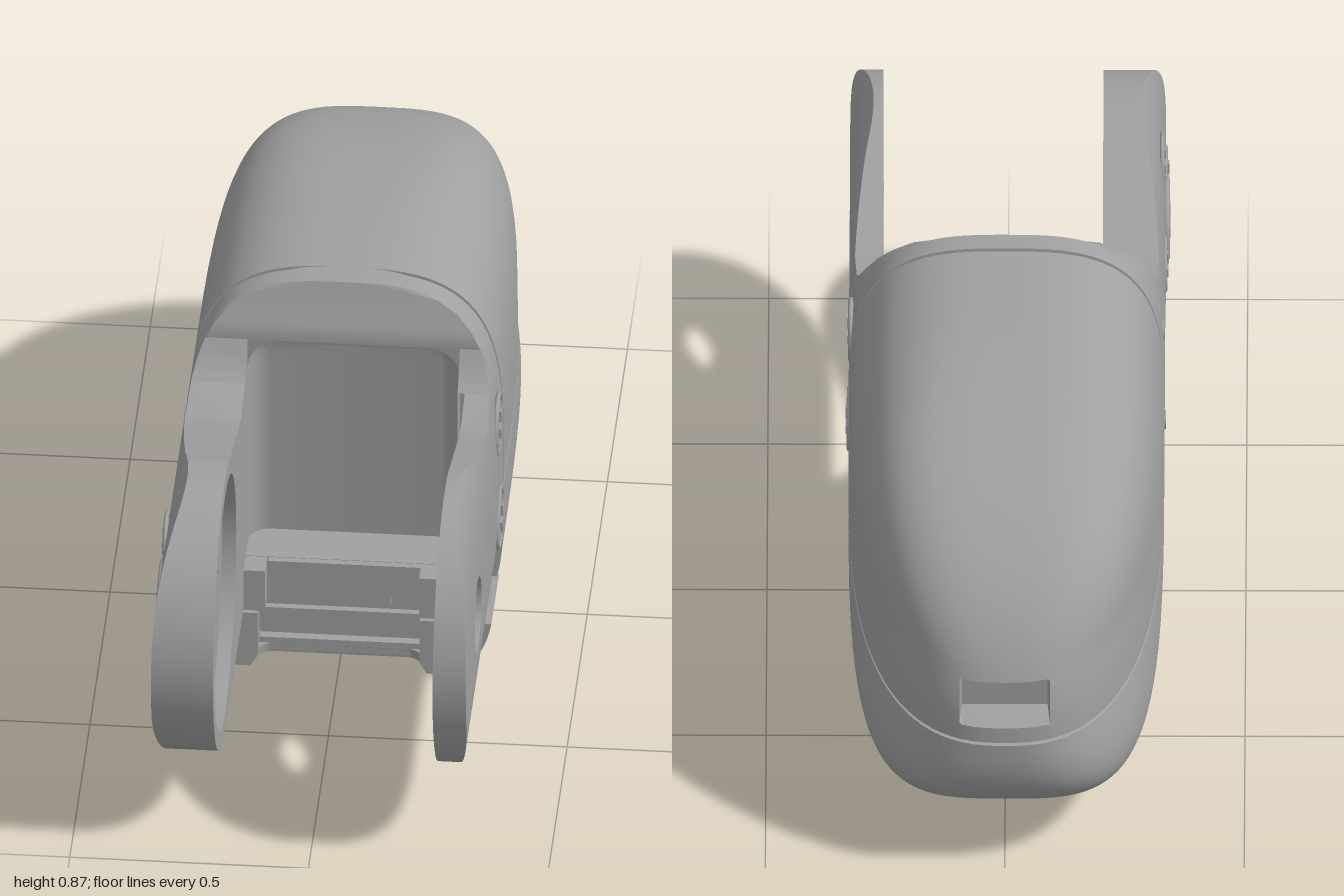
import * as THREE from 'three';
import { toCreasedNormals } from 'three/addons/utils/BufferGeometryUtils.js';

const grey = new THREE.MeshStandardMaterial({ color: 0xa0a0a0, side: THREE.DoubleSide });
grey.name = 'bodyGrey';

const SEAM = 0.36, TOP = 0.866, HALF = 0.33;
const PIVOT = { y: 0.45, z: 0.69 };

// Surface through rows of points
function loft(rows, flip = false, crease = 0.6) {
  const n = rows[0].length, index = [];
  for (let i = 0; i < rows.length - 1; i++) {
    for (let j = 0; j < n - 1; j++) {
      const a = i * n + j, b = a + 1, c = a + n, d = c + 1;
      if (flip) index.push(a, d, b, a, c, d);
      else index.push(a, b, d, a, d, c);
    }
  }
  const geo = new THREE.BufferGeometry();
  geo.setAttribute('position', new THREE.Float32BufferAttribute(rows.flat(2), 3));
  geo.setIndex(index);
  return toCreasedNormals(geo, crease);
}

const steps = (n, f) => Array.from({ length: n + 1 }, (_, i) => f(i / n));

// Height above the seam, 0 to 1
const rise = y => Math.min(1, Math.max(0, (y - SEAM) / (TOP - SEAM)));

// Half width of the body at height y
const halfWidth = y => (y < SEAM ? HALF - 0.04 * ((SEAM - y) / 0.23) ** 2 : HALF * Math.cbrt(1 - rise(y) ** 4));

// Lower shell: half width at depth v below the seam, and its sloping underside
const lowerWidth = v => HALF * (0.64 + 0.36 * Math.sqrt(1 - v ** 4));
const underside = z => 0.0886 * (0.25 - z);

// Top edge of the fork seen from the side
const EDGE = [[0.09, 0.866], [0.11, 0.81], [0.14, 0.745], [0.16, 0.713], [0.18, 0.69], [0.205, 0.67],
  [0.23, 0.659], [0.265, 0.651], [0.3, 0.652], [0.35, 0.664], [0.4, 0.68], [0.55, 0.728], [0.6, 0.747],
  [0.64, 0.756], [0.69, 0.76]];
function forkTop(z) {
  if (z <= EDGE[0][0]) return TOP;
  const k = EDGE.findIndex(p => p[0] >= z);
  if (k < 0) return 0.76;
  const [p, q] = [EDGE[k - 1], EDGE[k]];
  return p[1] + (q[1] - p[1]) * (z - p[0]) / (q[0] - p[0]);
}

// Plan angles shared by both shells, with extra columns at the slot edges
const slotAngle = Math.asin(0.27 ** 1.25);
const angles = [...steps(48, t => (t - 0.5) * Math.PI),
  -slotAngle - 0.015, -slotAngle, slotAngle, slotAngle + 0.015].sort((a, b) => a - b);

// U-shaped outline running from one front edge, round the back, to the other
function plan(w, back, front, inset, full) {
  const pts = angles.map(a => ({
    a, x: inset * w * Math.sign(a) * Math.abs(Math.sin(a)) ** (2 / (2.5 + full)),
    z: inset * back * Math.max(0, Math.cos(a)) ** (2 / (3 + full)),
  }));
  const edge = s => [{ a: 9, x: s * w * inset, z: front }, { a: 9, x: s * w * 0.8, z: front }];
  return [...edge(-1).reverse(), ...pts, ...edge(1)];
}

function upperShell() {
  const levels = [...steps(30, k => 1 - (1 - k) ** 3), 0.08, 0.09, 0.27, 0.28].sort((a, b) => a - b);
  const row = (v, y, inset) => plan(halfWidth(SEAM + v * (TOP - SEAM)), -Math.cbrt(1 - v * v),
    0.058 - 0.025 * v, inset, 2 * Math.max(0, v - 0.3)).map(p => {
    const inSlot = v > 0.085 && v < 0.275 && Math.abs(p.a) < slotAngle + 0.001;
    return [p.x, y, inSlot ? -0.92 : p.z];
  });
  const rows = levels.map(v => row(v, Math.max(SEAM + 0.004, SEAM + v * (TOP - SEAM)), 1));
  return loft([row(0, SEAM, 0.98), ...rows], true);
}

function lowerShell() {
  const floor = z => Math.min(0.08, 0.008 + underside(z));
  const row = (v, inset, squash = 1, lift = 0) => plan(
    lowerWidth(v), -(0.62 + 0.38 * Math.sqrt(1 - v ** 3)), 0.07, inset, 1.5 * v)
    .map(p => [p.x * squash, 0.356 + lift - v * (0.356 - floor(p.z)), p.z]);
  return loft([row(0, 0.98, 1, 0.004), ...steps(20, k => row(1 - (1 - k) ** 2, 1)), row(1, 1, 0)]);
}

// Cross wall joining the two arms, with a filleted pocket in its front
function bridge() {
  const half = steps(28, t => 1 - (1 - t) ** 3);
  const section = (z, scale) => {
    const top = forkTop(z), slope = z < 0.08 ? 0.025 : 0;
    const side = s => half.map(t => {
      const y = 0.13 + t * (top - 0.13);
      return [s * halfWidth(y) * scale, SEAM + (y - SEAM) * scale, z - slope * rise(y)];
    });
    return [...side(1), ...side(-1).reverse()];
  };
  const pocket = (z, inset, squash = 1) => {
    const top = 0.744 - inset, r = 0.07 - inset;
    const side = (s, limit) => half.map(t => {
      const y = 0.13 + t * (top - 0.13), h = Math.max(0, y - top + r);
      return [s * squash * (limit - inset - r + Math.sqrt(Math.max(0, r * r - h * h))), y, z];
    });
    return [...side(1, 0.245), ...side(-1, 0.2).reverse()];
  };
  const fillet = steps(6, t => {
    const a = t * Math.PI / 2;
    return pocket(0.125 - 0.045 * Math.sin(a), 0.045 * (1 - Math.cos(a)));
  });
  return loft([section(0, 0.98), section(0.067, 0.98), section(0.068, 1),
    ...[0.079, 0.09, 0.1, 0.11, 0.125, 0.14].map(z => section(z, 1)),
    pocket(0.14, 0), ...fillet, pocket(0.08, 0.045, 0)]);
}

// Side wall between cross wall and arm
function cheek(s, inner) {
  const rows = steps(8, t => {
    const z = 0.14 + 0.06 * t, top = forkTop(z);
    const ys = steps(16, k => 0.13 + k * (top - 0.13));
    const loop = [...ys.map(y => [s * halfWidth(y), y, z]), ...ys.slice().reverse().map(y => [s * inner, y, z])];
    return [...loop, loop[0]];
  });
  return loft(rows, s < 0);
}

// Rounded arm built in rings around the pivot
function arm(s, inner, hole, recess) {
  const rays = steps(120, t => {
    const a = t * Math.PI * 2, c = Math.cos(a), d = Math.sin(a);
    let r = 0.31;
    if (c < 0) {
      while (r < 0.7 && PIVOT.z + r * c > 0.18 && PIVOT.y + r * d < forkTop(PIVOT.z + r * c)
        && PIVOT.y + r * d > 0.135) r += 0.0005;
    }
    return { c, d, r };
  });
  const ring = (radius, x) => rays.map(q => {
    const r = radius(q), y = PIVOT.y + r * q.d;
    return [s * (x ?? halfWidth(y)), y, PIVOT.z + r * q.c];
  });
  const rows = [ring(() => hole, inner + (recess ? 0.03 : 0))];
  if (recess) rows.push(ring(() => recess, inner + 0.03), ring(() => recess, inner));
  rows.push(ring(q => q.r, inner));
  rows.push(...steps(12, t => ring(q => q.r + (hole - q.r) * t)));
  if (hole > 0.01) rows.push(ring(() => hole, inner));
  return loft(rows, s > 0);
}

// Front end of the lower shell at one side, its underside sloping with the shell
function frontLip(s) {
  const curve = steps(12, t => 0.63 + 0.37 * t).map(v => new THREE.Vector2(s * lowerWidth(v), 0.356 * (1 - v)));
  const shape = new THREE.Shape([...curve, new THREE.Vector2(s * 0.185, 0), new THREE.Vector2(s * 0.17, 0.025),
    new THREE.Vector2(s * 0.17, 0.1317)]);
  const geo = new THREE.ExtrudeGeometry(shape, { depth: 0.19, bevelEnabled: false }).translate(0, 0, 0.06);
  const p = geo.attributes.position;
  for (let i = 0; i < p.count; i++) p.setY(i, p.getY(i) + (1 - p.getY(i) / 0.1317) * underside(p.getZ(i)));
  return toCreasedNormals(geo, 0.6);
}

export function createModel() {
  const model = new THREE.Group();
  model.name = 'hingedHousing';
  const add = (name, geo, x = 0, y = 0, z = 0, parent = model) => {
    const mesh = new THREE.Mesh(geo, grey);
    mesh.name = name;
    mesh.position.set(x, y, z);
    parent.add(mesh);
  };
  const box = (name, x0, x1, y0, y1, z0, z1) => add(name,
    new THREE.BoxGeometry(x1 - x0, y1 - y0, z1 - z0), (x0 + x1) / 2, (y0 + y1) / 2, (z0 + z1) / 2);
  const disc = (name, r, depth, x, y, z, parent) =>
    add(name, new THREE.CylinderGeometry(r, r, depth, 32).rotateZ(Math.PI / 2), x, y, z, parent);

  // Housing
  add('upperShell', upperShell());
  add('lowerShell', lowerShell());

  // Fork
  add('forkBridge', bridge());
  add('leftCheek', cheek(1, 0.245));
  add('rightCheek', cheek(-1, 0.2));
  add('leftArm', arm(1, 0.26, 0.08, 0));
  add('rightArm', arm(-1, 0.2, 0.001, 0.27));

  // Bottom cover plate
  const plate = new THREE.Shape();
  plate.moveTo(-0.21, 0.25).lineTo(-0.185, 0.25).quadraticCurveTo(-0.17, 0.2, -0.14, 0.2)
    .lineTo(0.14, 0.2).quadraticCurveTo(0.17, 0.2, 0.185, 0.25).lineTo(0.21, 0.25)
    .lineTo(0.235, -0.49).quadraticCurveTo(0.235, -0.54, 0.185, -0.54)
    .lineTo(-0.185, -0.54).quadraticCurveTo(-0.235, -0.54, -0.235, -0.49);
  add('bottomPlate', new THREE.ExtrudeGeometry(plate, { depth: 0.022, bevelEnabled: false })
    .rotateX(Math.PI / 2).translate(0, 0, -0.25).rotateX(0.0884), 0, 0.022, 0.25);

  // Front lips of the lower shell
  for (const s of [1, -1]) add('frontLip', frontLip(s));

  // Ledge and latch inside the fork
  box('latchBase', -0.175, 0.175, 0.01, 0.04, 0.03, 0.2);
  box('latchGroove', -0.18, 0.18, 0.03, 0.07, 0.03, 0.18);
  box('latchBar', -0.175, 0.175, 0.065, 0.115, 0.03, 0.2);
  box('ledge', -0.2, 0.26, 0.115, 0.232, 0.05, 0.185);
  box('ledgeFace', -0.152, 0.168, 0.155, 0.231, 0.15, 0.2);
  box('latchTab', -0.09, 0.105, 0.13, 0.155, 0.15, 0.2);
  box('rightPost', -0.2, -0.155, 0.13, 0.231, 0.14, 0.24);
  box('leftPost', 0.168, 0.245, 0.13, 0.231, 0.14, 0.24);
  box('leftStop', 0.24, 0.262, 0.13, 0.185, 0.14, 0.27);

  // Cross-head screws, sunk to sit nearly flush or standing slightly proud
  const screw = (s, y, z, r, proud) => {
    const group = new THREE.Group();
    group.name = 'screw';
    group.position.set(s * (halfWidth(y) + proud), y, z);
    add('rim', new THREE.TorusGeometry(r * 0.93, r * 0.08, 8, 36).rotateY(Math.PI / 2), 0, 0, 0, group);
    disc('head', r * 0.72, 0.008, 0, 0, 0, group);
    add('crossUpright', new THREE.BoxGeometry(0.016, r, r * 0.22), 0, 0, 0, group);
    add('crossBar', new THREE.BoxGeometry(0.016, r * 0.22, r), 0, 0, 0, group);
    model.add(group);
  };
  for (const y of [0.57, 0.335]) {
    screw(1, y, 0.15, 0.068, -0.001);
    disc('pinEnd', 0.02, 0.006, -halfWidth(y), y, 0.15);
  }
  screw(-1, PIVOT.y, PIVOT.z, 0.088, 0.002);
  disc('pivotEnd', 0.05, 0.006, -0.229, PIVOT.y, PIVOT.z);
  for (let i = 0; i < 4; i++) {
    const y = PIVOT.y + 0.155 * Math.sin(i * Math.PI / 2), z = PIVOT.z + 0.155 * Math.cos(i * Math.PI / 2);
    screw(-1, y, z, 0.06, -0.001);
    disc('screwEnd', 0.025, 0.006, -0.229, y, z);
  }
  return model;
}
